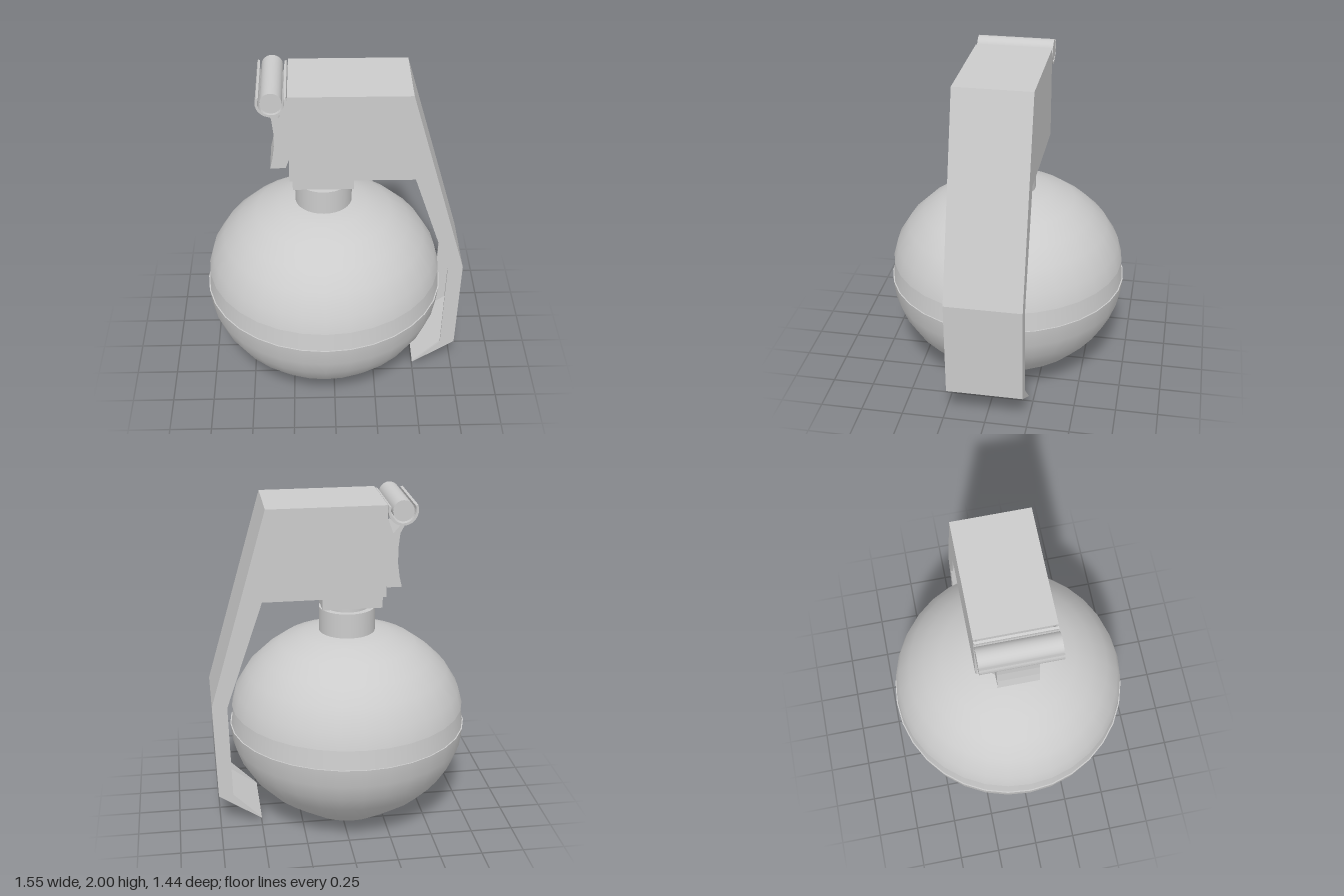
import * as THREE from 'three';

const AXIS_X = -0.057; // vertical axis of the body and neck
const material = new THREE.MeshStandardMaterial({ color: 0xcccccc, side: THREE.DoubleSide });
const vectors = (points) => points.map(([x, y]) => new THREE.Vector2(x, y));

export function createModel() {
  const model = new THREE.Group();

  const add = (name, geometry, x = 0, y = 0, z = 0) => {
    const mesh = new THREE.Mesh(geometry, material);
    mesh.name = name;
    mesh.position.set(x, y, z);
    model.add(mesh);
    return mesh;
  };
  const lathe = (name, points) => add(name, new THREE.LatheGeometry(vectors(points), 32), AXIS_X);
  // Side profile extruded across z, from z0 to z1
  const slab = (name, shape, z0, z1) =>
    add(name, new THREE.ExtrudeGeometry(shape, { depth: z1 - z0, bevelEnabled: false, curveSegments: 10 }), 0, 0, z0);

  // Round body: flat base, lower shell, inset band, upper shell
  lathe('base', [[0, 0], [0.278, 0]]);
  lathe('lowerShell', [[0.278, 0], [0.40, 0.085], [0.515, 0.17], [0.605, 0.265], [0.667, 0.365],
    [0.706, 0.47], [0.72, 0.582]]);
  lathe('lowerLip', [[0.72, 0.582], [0.713, 0.582]]);
  lathe('band', [[0.713, 0.582], [0.698, 0.70]]);
  lathe('upperLip', [[0.698, 0.70], [0.706, 0.70]]);
  lathe('upperShell', [[0.706, 0.70], [0.68, 0.80], [0.607, 0.92], [0.515, 1.01], [0.405, 1.09],
    [0.265, 1.145], [0.145, 1.17], [0, 1.172]]);

  // Neck and fuze block
  add('neckCollar', new THREE.CylinderGeometry(0.168, 0.168, 0.155, 32), AXIS_X, 1.2375);
  add('neck', new THREE.CylinderGeometry(0.133, 0.133, 0.08, 32), AXIS_X, 1.335);
  add('fuzeBlock', new THREE.BoxGeometry(0.35, 0.56, 0.41), -0.06, 1.642);

  // Lever: a folded strip with two side plates, open on the inside
  const outer = [[-0.253, 1.975], [0.435, 1.975], [0.775, 0.80], [0.757, 0.205], [0.5, 0.035]];
  const plate = [...outer, [0.67, 0.205], [0.685, 0.79], [0.465, 1.435], [-0.253, 1.435]];
  const strip = [...outer, [0.744, 0.212], [0.762, 0.80], [0.426, 1.963], [-0.253, 1.963]];
  slab('leverStrip', new THREE.Shape(vectors(strip)), -0.226, 0.226);
  for (const side of [-1, 1]) {
    const z = side * 0.22;
    slab(side > 0 ? 'leverFrontPlate' : 'leverBackPlate', new THREE.Shape(vectors(plate)), z - 0.006, z + 0.006);
  }

  // Hinge pin held in a curled clip
  const pin = add('hingePin', new THREE.CylinderGeometry(0.061, 0.061, 0.452, 24), -0.343, 1.939);
  pin.rotation.x = Math.PI / 2;
  const clip = new THREE.Shape();
  clip.absarc(-0.343, 1.94, 0.087, Math.PI * 0.88, Math.PI * 2.1, false);
  clip.absarc(-0.343, 1.94, 0.073, Math.PI * 2.1, Math.PI * 0.88, true);
  slab('hingeClip', clip, -0.226, 0.226);

  // Striker hanging below the clip, forked at the top
  const striker = [[-0.405, 1.885], [-0.348, 1.78], [-0.338, 1.69], [-0.338, 1.6], [-0.348, 1.52],
    [-0.363, 1.455], [-0.275, 1.455], [-0.255, 1.51], [-0.24, 1.51], [-0.24, 1.895], [-0.265, 1.895],
    [-0.307, 1.78], [-0.38, 1.865]];
  slab('striker', new THREE.Shape(vectors(striker)), -0.12, 0.12);

  return model;
}
